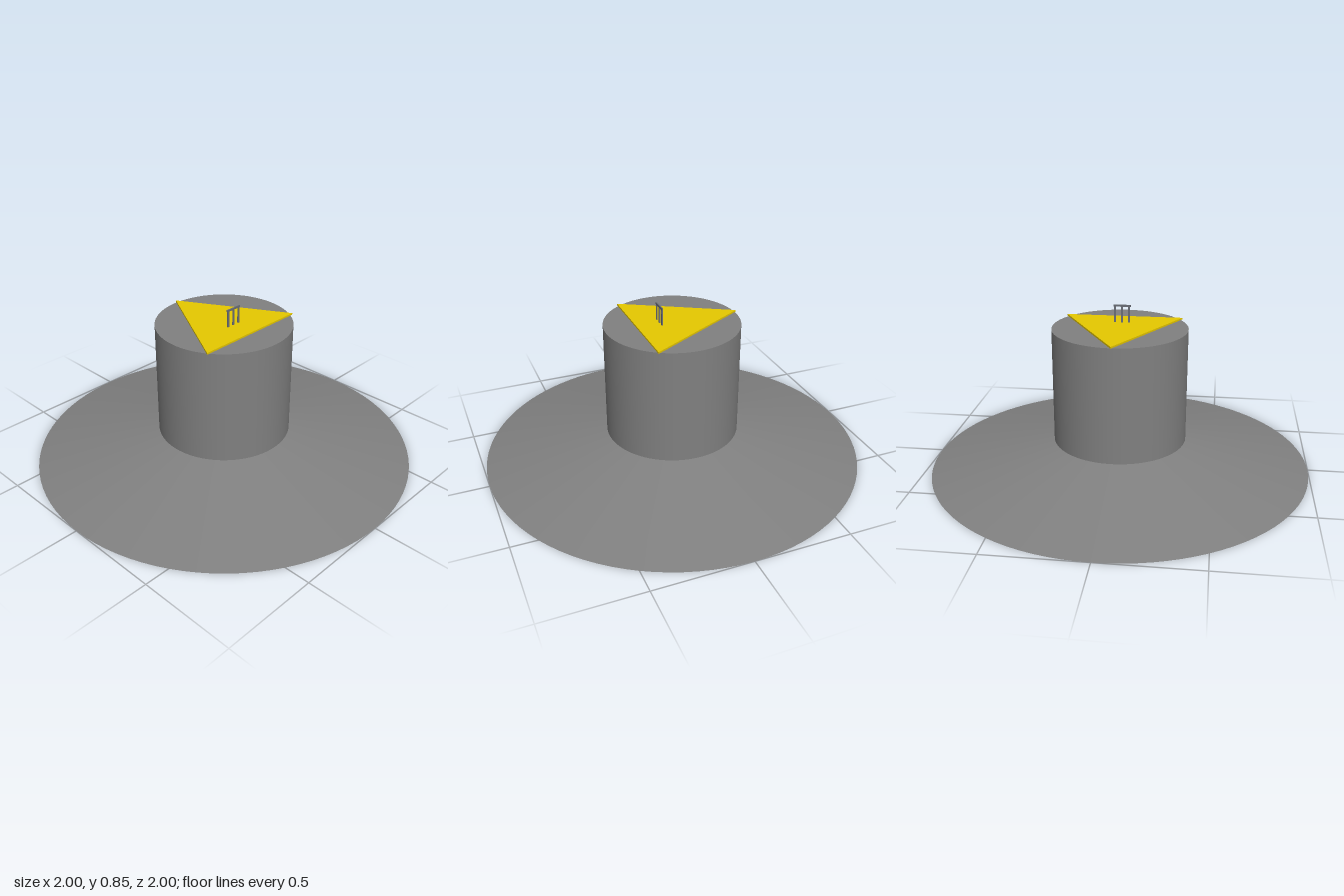
import * as THREE from 'three';

export function createModel() {
  const model = new THREE.Group();
  const grey = new THREE.MeshStandardMaterial({ color: 0x808080 });
  grey.name = 'grey';
  const yellow = new THREE.MeshStandardMaterial({ color: 0xe6c800 });
  yellow.name = 'yellow';
  const steel = new THREE.MeshStandardMaterial({ color: 0x6a6e76 });
  steel.name = 'steel grey';

  const add = (name, geometry, material, x, y, z) => {
    const mesh = new THREE.Mesh(geometry, material);
    mesh.name = name;
    mesh.position.set(x, y, z);
    model.add(mesh);
  };

  // Wide sloping base and the drum on top of it
  const baseHeight = 0.145, drumTop = 0.748, drumRadius = 0.35;
  add('base', new THREE.CylinderGeometry(drumRadius, 1, baseHeight, 96, 1, true), grey, 0, baseHeight / 2, 0);
  add('drum', new THREE.CylinderGeometry(drumRadius, drumRadius, drumTop - baseHeight, 96),
    grey, 0, (drumTop + baseHeight) / 2, 0);

  // Underside: flat rim around a shallow dished recess
  const underside = [[0, 0.07], [drumRadius, 0.07], [0.72, 0], [1, 0]]
    .map(([r, y]) => new THREE.Vector2(r, y));
  add('underside', new THREE.LatheGeometry(underside, 96), grey, 0, 0, 0);

  // Thin triangular plate with one corner towards the back
  const triangle = new THREE.Shape([
    new THREE.Vector2(-0.308, -0.19),
    new THREE.Vector2(0.308, -0.19),
    new THREE.Vector2(0, 0.357),
  ]);
  const plate = new THREE.ExtrudeGeometry(triangle, { depth: 0.009, bevelEnabled: false });
  plate.rotateX(-Math.PI / 2);
  add('trianglePlate', plate, yellow, 0, drumTop, 0);

  // Three-pronged bracket standing on the plate
  const top = 0.85, width = 0.01, depth = 0.006, bracketZ = 0.067;
  for (const x of [-0.039, -0.002, 0.034]) {
    add('bracketPost', new THREE.BoxGeometry(width, top - drumTop, depth),
      steel, x, (top + drumTop) / 2, bracketZ);
  }
  add('bracketBar', new THREE.BoxGeometry(0.088, width, depth),
    steel, -0.003, top - width / 2, bracketZ);

  return model;
}
